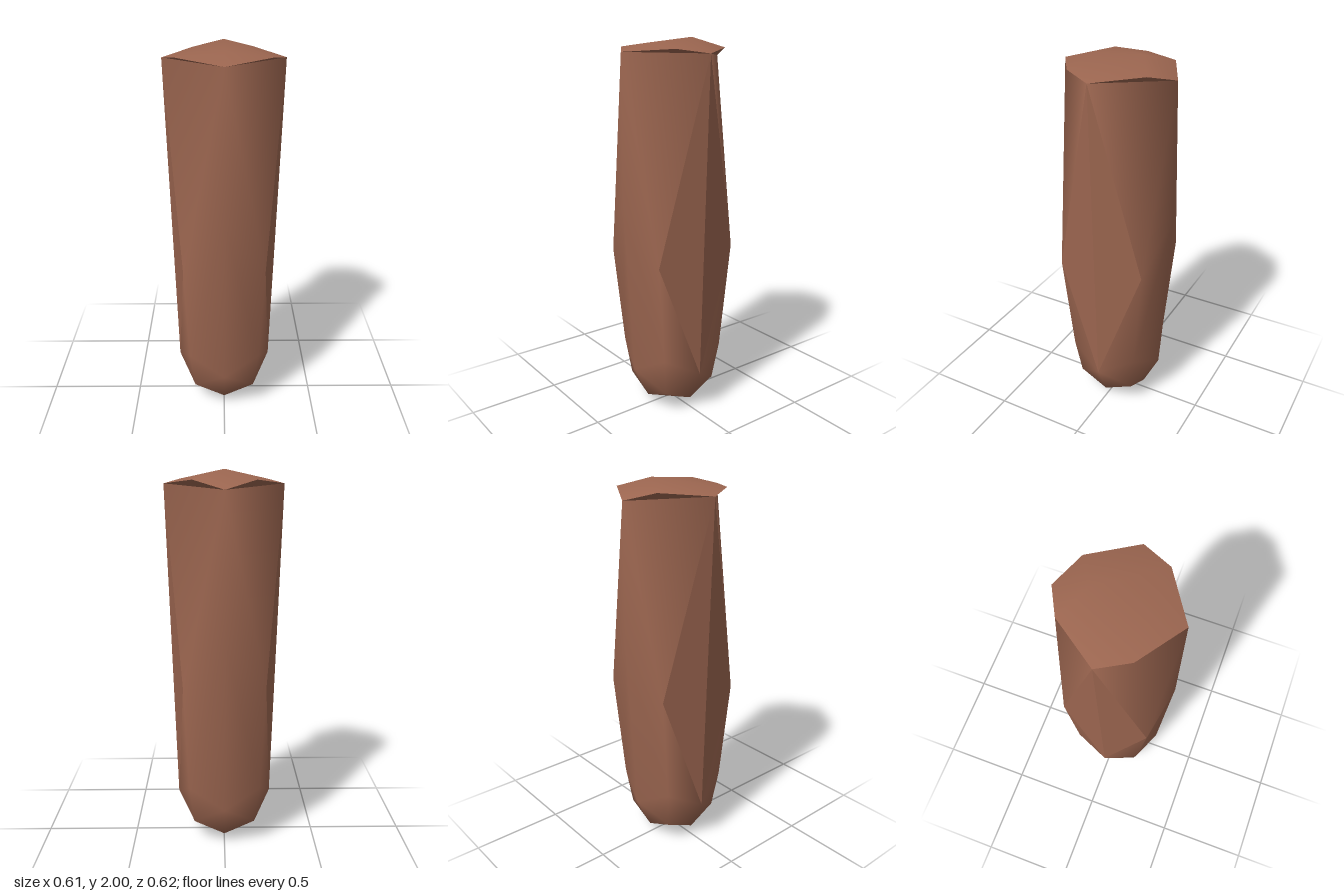
import * as THREE from 'three';
import { mergeVertices } from 'three/addons/utils/BufferGeometryUtils.js';

// Triangles are listed by point name; mirrored copies swap their winding
function addFaces(out, points, faces, sx, sz) {
  for (const face of faces.split(' ')) {
    const names = face.split('-');
    if (sx * sz < 0) names.reverse();
    for (const n of names) {
      const [x, y, z] = points[n];
      out.push(x * sx, y, z * sz);
    }
  }
}

function makeMesh(name, positions, smooth, material) {
  let geometry = new THREE.BufferGeometry();
  geometry.setAttribute('position', new THREE.Float32BufferAttribute(positions, 3));
  if (smooth) geometry = mergeVertices(geometry);
  geometry.computeVertexNormals();
  const mesh = new THREE.Mesh(geometry, material);
  mesh.name = name;
  return mesh;
}

export function createModel() {
  const group = new THREE.Group();
  group.name = 'post';
  const material = new THREE.MeshStandardMaterial({ color: 0x9c6650 });

  // One quarter of the shaft: middle column M, diagonal column D, side column S, tip T
  const quarter = (topY, diagY) => ({
    M0: [0, topY, 0.303], M1: [0, 1.18, 0.308], M2: [0, 0.24, 0.255], M3: [0, 0.055, 0.165],
    D0: [0.213, diagY, 0.24], D1: [0.19, 0.34, 0.19], D2: [0.163, 0.13, 0.163],
    S0: [0.306, 1.93, 0], S1: [0.255, 0.24, 0], S2: [0.17, 0.055, 0],
    T: [0, 0, 0],
  });
  const shaftFaces = 'M0-D0-S0 M0-M1-D0 M1-D1-D0 M1-M2-D1 D0-D1-S1 M2-D2-D1 ' +
    'D1-D2-S1 M2-M3-D2 D2-S2-S1 M3-S2-D2 M3-T-S2';

  // Domed cap, one half
  const cap = {
    F: [0, 1.935, 0.303], FD: [0.23, 1.952, 0.15], S: [0.306, 1.93, 0],
    BD: [0.155, 1.95, -0.22], B: [0, 1.905, -0.303],
    A: [0, 2, -0.13], C: [0, 1.976, 0.14],
  };

  const shaft = [], facets = [], top = [], rim = [];
  for (const sx of [1, -1]) {
    for (const sz of [1, -1]) {
      const points = sz > 0 ? quarter(1.935, 0.88) : quarter(1.905, 0.92);
      addFaces(shaft, points, shaftFaces, sx, sz);
      addFaces(facets, points, 'S0-D0-S1', sx, sz);
    }
    addFaces(top, cap, 'F-FD-C C-FD-A FD-S-A S-BD-A BD-B-A', sx, 1);
    addFaces(rim, cap, 'S-FD-F B-BD-S', sx, 1);
  }

  group.add(
    makeMesh('shaft', shaft, true, material),
    makeMesh('sideFacets', facets, false, material),
    makeMesh('topCap', top, true, material),
    makeMesh('capUnderside', rim, false, material),
  );
  return group;
}
